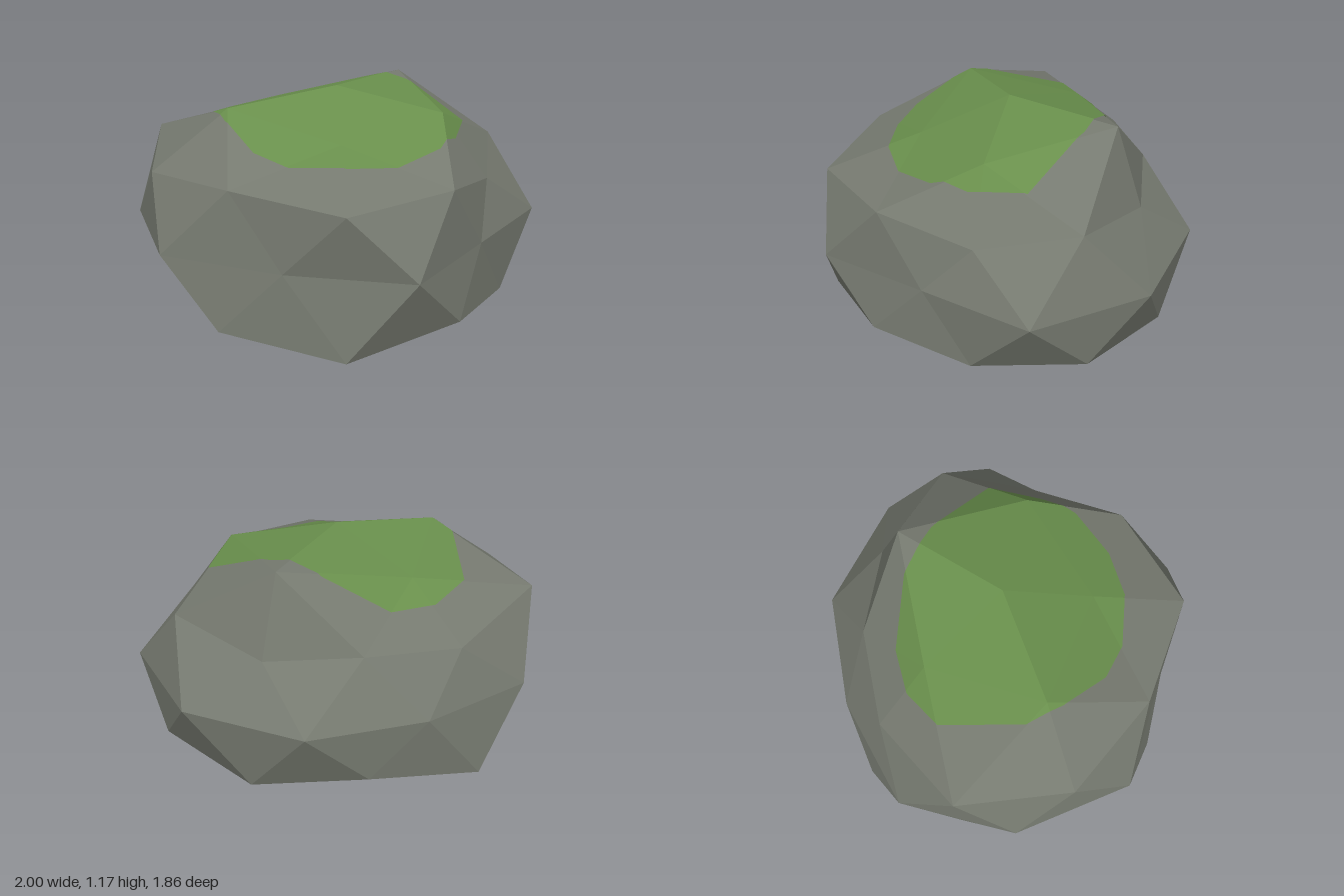
import * as THREE from 'three';

// Flat-shaded geometry from a list of corner triples
function facetGeometry(tris) {
  const geo = new THREE.BufferGeometry().setFromPoints(tris.flat());
  geo.computeVertexNormals();
  return geo;
}

// Rings of the boulder: height and width on a unit sphere, first angle, radius of each of five corners
const RINGS = {
  crown: [0.851, 0.526, 0, [1.046, 0.9, 1.1, 0.97, 1.2]],
  upper: [0.447, 0.894, 0, [0.88, 1.1, 1.09, 0.93, 0.879]],
  upperMid: [0.526, 0.851, 36, [1.017, 1.05, 1.175, 0.875, 1.046]],
  waistA: [0, 1, 18, [0.848, 0.92, 1.051, 0.93, 1.054]],
  waistB: [0, 1, 54, [1.046, 1.07, 1.04, 1.01, 1.051]],
  lower: [-0.447, 0.894, 36, [1.05, 1.12, 1.07, 1.015, 1.1]],
  lowerMid: [-0.526, 0.851, 72, [1.17, 0.93, 1.16, 1.1, 1.04]],
  foot: [-0.851, 0.526, 36, [1.03, 0.99, 1.1, 1.03, 0.9]],
};

// Squashed sphere point, cut flat at the ground
function rockPoint(h, w, deg, r) {
  const a = THREE.MathUtils.degToRad(deg);
  return new THREE.Vector3(
    w * r * Math.cos(a),
    Math.max(0, 0.5 + 0.635 * h * r),
    0.02 + 0.95 * w * r * Math.sin(a)
  );
}

// Once-subdivided icosahedron with uneven radii
function rockTriangles() {
  const ring = {};
  for (const [name, [h, w, start, radii]] of Object.entries(RINGS)) {
    ring[name] = radii.map((r, k) => rockPoint(h, w, start + 72 * k, r));
  }
  const top = rockPoint(1, 0, 0, 1.055);
  const bottom = rockPoint(-1, 0, 0, 1);
  const tris = [];
  const split = (a, b, c, ab, bc, ca) =>
    tris.push([a, ca, ab], [ab, bc, b], [ca, c, bc], [ab, ca, bc]);

  for (let k = 0; k < 5; k++) {
    const n = (k + 1) % 5;
    const { crown, upper, upperMid, waistA, waistB, lower, lowerMid, foot } = ring;
    split(top, upper[k], upper[n], crown[k], upperMid[k], crown[n]);
    split(upper[k], lower[k], upper[n], waistA[k], waistB[k], upperMid[k]);
    split(upper[n], lower[k], lower[n], waistB[k], lowerMid[k], waistA[n]);
    split(bottom, lower[n], lower[k], foot[n], lowerMid[k], foot[k]);
  }
  return tris;
}

// Outline of the moss seen from above (x, z)
const MOSS = [
  [-0.66, -0.14], [-0.53, -0.33], [-0.33, -0.44], [0, -0.47], [0.26, -0.4],
  [0.62, -0.2], [0.63, 0.08], [0.59, 0.27], [0.43, 0.48], [0.22, 0.6],
  [-0.05, 0.64], [-0.24, 0.59], [-0.45, 0.42], [-0.58, 0.27],
];

// Cut a polygon by every side of the moss outline
function clipToMoss(poly) {
  MOSS.forEach(([ax, az], i) => {
    const [bx, bz] = MOSS[(i + 1) % MOSS.length];
    const side = (p) => (bx - ax) * (p.z - az) - (bz - az) * (p.x - ax);
    const out = [];
    poly.forEach((p, j) => {
      const q = poly[(j + 1) % poly.length];
      const sp = side(p), sq = side(q);
      if (sp >= 0) out.push(p);
      if (sp * sq < 0) out.push(p.clone().lerp(q, sp / (sp - sq)));
    });
    poly = out;
  });
  return poly;
}

// Thin moss layer draped over the upper facets
function mossTriangles(rock) {
  const lift = new THREE.Vector3(0, 0.005, 0);
  const tris = [];
  for (const t of rock) {
    const normal = new THREE.Triangle(...t).getNormal(new THREE.Vector3());
    if (normal.y < 0.05 || Math.min(...t.map((p) => p.y)) < 0.49) continue;
    const poly = clipToMoss(t).map((p) => p.clone().add(lift));
    for (let i = 1; i < poly.length - 1; i++) tris.push([poly[0], poly[i], poly[i + 1]]);
  }
  return tris;
}

export function createModel() {
  const stone = new THREE.MeshStandardMaterial({ color: 0x767a70, flatShading: true });
  stone.name = 'stone grey';
  const green = new THREE.MeshStandardMaterial({ color: 0x698f4c, flatShading: true, side: THREE.DoubleSide });
  green.name = 'moss green';

  const group = new THREE.Group();
  group.name = 'mossyBoulder';
  const rock = rockTriangles();

  const boulder = new THREE.Mesh(facetGeometry(rock), stone);
  boulder.name = 'boulder';
  const moss = new THREE.Mesh(facetGeometry(mossTriangles(rock)), green);
  moss.name = 'mossPatch';
  group.add(boulder, moss);
  return group;
}
